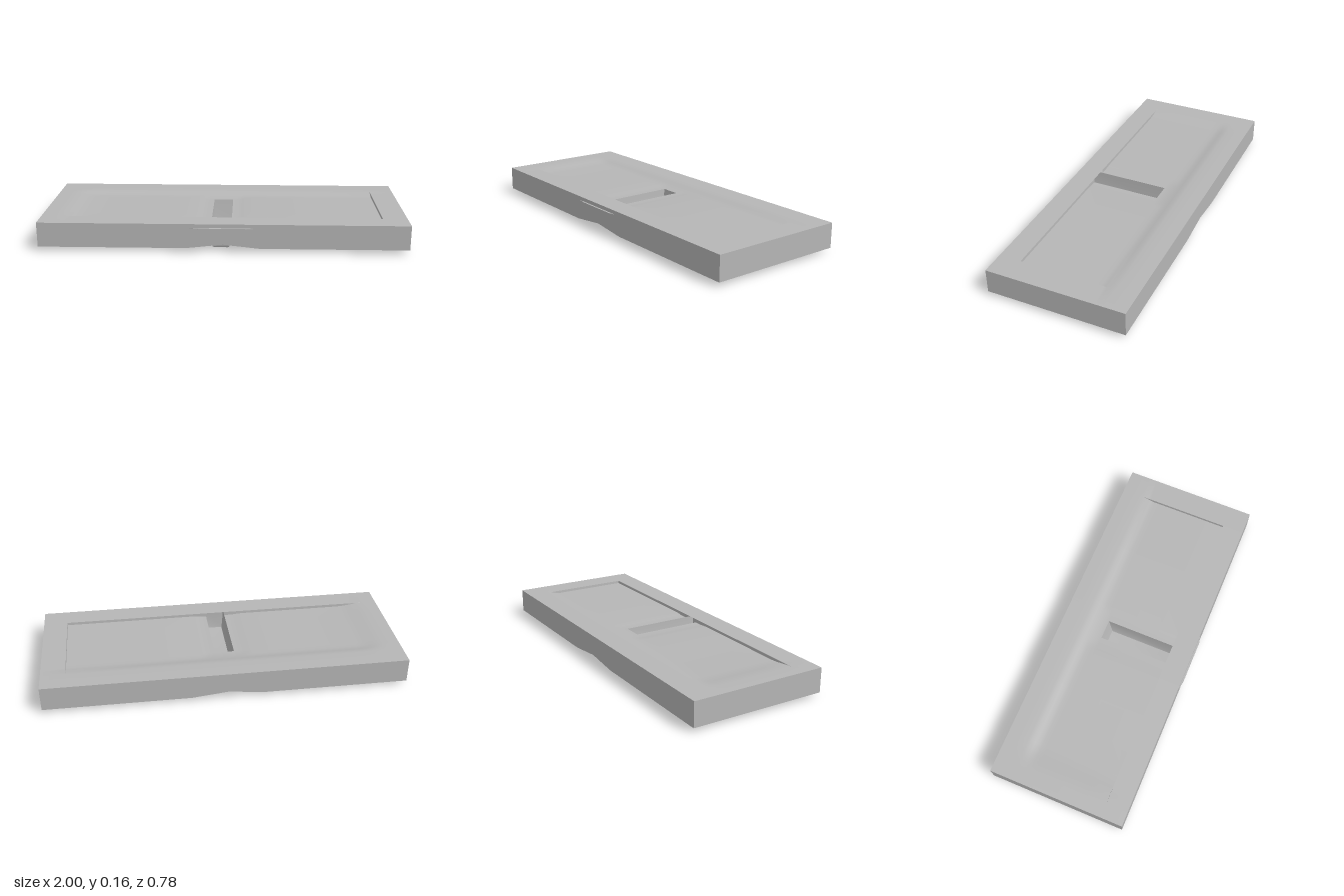
import * as THREE from 'three';
import { toCreasedNormals } from 'three/addons/utils/BufferGeometryUtils.js';

const TOP = 0.158, BASE = 0.022, BACK = -0.388, FRONT = 0.378;
const SLOT = { x0: -0.065, x1: 0.045, z0: -0.14, z1: 0.256 };
const smooth = THREE.MathUtils.smoothstep;

// Surface over an x/z grid, height given by a rule; cells may be skipped
function heightSurface(xs, zs, height, down = false, skip = () => false) {
  const pos = [], index = [], nz = zs.length;
  for (const x of xs) for (const z of zs) pos.push(x, height(x, z), z);
  for (let i = 0; i < xs.length - 1; i++) {
    for (let j = 0; j < nz - 1; j++) {
      if (skip((xs[i] + xs[i + 1]) / 2, (zs[j] + zs[j + 1]) / 2)) continue;
      const a = i * nz + j, b = a + 1, c = a + nz, d = c + 1;
      if (down) index.push(a, c, b, b, c, d);
      else index.push(a, b, c, b, d, c);
    }
  }
  return finish(pos, index);
}

// Rectangular rings [x0, x1, z0, z1, y] joined from top to bottom, closed by a floor
function rectLoft(rings, inward) {
  const pos = [], index = [];
  const tri = (a, b, c) => (inward ? index.push(a, c, b) : index.push(a, b, c));
  for (const [x0, x1, z0, z1, y] of rings) pos.push(x0, y, z0, x0, y, z1, x1, y, z1, x1, y, z0);
  for (let r = 0; r < rings.length - 1; r++) {
    for (let k = 0; k < 4; k++) {
      const a = r * 4 + k, b = r * 4 + (k + 1) % 4;
      tri(a, a + 4, b);
      tri(b, a + 4, b + 4);
    }
  }
  const f = (rings.length - 1) * 4;
  tri(f, f + 2, f + 1);
  tri(f, f + 3, f + 2);
  return finish(pos, index);
}

function finish(pos, index) {
  const g = new THREE.BufferGeometry();
  g.setAttribute('position', new THREE.Float32BufferAttribute(pos, 3));
  g.setIndex(index);
  return toCreasedNormals(g, 0.6);
}

// Shallow tray: soft slopes at left and back, sharp steps at right and front
function trayHeight(x, z) {
  const inside = smooth(x, -0.92, -0.76) * smooth(z, -0.27, -0.19)
    * (x < 0.8655 ? 1 : 0) * (z < 0.2555 ? 1 : 0);
  const dip = smooth(x, -0.17, -0.1) * (1 - smooth(x, 0.08, 0.13)) * smooth(z, -0.2, -0.16);
  return TOP - inside * (0.015 + 0.005 * dip);
}

// Underside with a shallow chevron at the front and back edges
function baseHeight(x, z) {
  const edge = Math.max(smooth(z, 0.31, FRONT), 1 - smooth(z, BACK, -0.31));
  return BASE + 0.022 * Math.max(0, 1 - Math.abs(x) / 0.2) * edge;
}

export function createModel() {
  const model = new THREE.Group();
  const grey = new THREE.MeshStandardMaterial({ color: 0xb6b6b6, side: THREE.DoubleSide });
  grey.name = 'grey';
  const add = (name, geometry) => {
    const mesh = new THREE.Mesh(geometry, grey);
    mesh.name = name;
    model.add(mesh);
    return mesh;
  };

  // Top with its sunken tray, open over the slot
  const xs = [-1, -0.92, -0.89, -0.86, -0.83, -0.8, -0.76, -0.4, -0.17, -0.145, -0.12, -0.1,
    SLOT.x0, SLOT.x1, 0.08, 0.1, 0.13, 0.5, 0.865, 0.866, 1];
  const zs = [BACK, -0.33, -0.27, -0.25, -0.23, -0.21, -0.19, -0.16, SLOT.z0, 0, 0.15, 0.255, SLOT.z1, FRONT];
  add('trayTop', heightSurface(xs, zs, trayHeight, false, (x, z) =>
    x > SLOT.x0 && x < SLOT.x1 && z > SLOT.z0 && z < SLOT.z1));

  // Underside
  const bottomXs = [-1, -0.2, -0.1, 0, 0.1, 0.2, 1];
  const bottomZs = [BACK, -0.36, -0.335, -0.31, 0, 0.31, 0.333, 0.356, FRONT];
  add('underside', heightSurface(bottomXs, bottomZs, baseHeight, true));

  // Long walls with the chevron cut into the lower edge
  const wall = new THREE.Shape([[-1, BASE], [-0.2, BASE], [0, BASE + 0.022], [0.2, BASE],
    [1, BASE], [1, TOP], [-1, TOP]].map(p => new THREE.Vector2(...p)));
  add('frontWall', new THREE.ShapeGeometry(wall)).position.z = FRONT;
  const back = add('backWall', new THREE.ShapeGeometry(wall));
  back.position.z = BACK;
  back.rotation.y = Math.PI;

  // End walls
  for (const side of [-1, 1]) {
    const end = add(side > 0 ? 'leftWall' : 'rightWall', new THREE.PlaneGeometry(FRONT - BACK, TOP - BASE));
    end.position.set(side, (TOP + BASE) / 2, (FRONT + BACK) / 2);
    end.rotation.y = side * Math.PI / 2;
  }

  // Slot running forward beneath the front rim
  add('slot', rectLoft([
    [SLOT.x0, SLOT.x1, SLOT.z0, 0.31, 0.138],
    [-0.057, 0.04, -0.12, 0.31, 0.03],
    [-0.052, 0.032, -0.115, 0.305, 0.012],
  ], true));

  // Runner under the slot
  add('runner', rectLoft([
    [-0.062, 0.038, -0.12, 0.313, BASE + 0.002],
    [-0.058, 0.034, -0.115, 0.31, 0.008],
    [-0.046, 0.024, -0.105, 0.299, 0],
  ], false));

  // Thin finger lip on the front wall
  const lip = new THREE.Shape([[-0.18, 0], [-0.13, -0.01], [0.12, -0.01], [0.16, 0]]
    .map(p => new THREE.Vector2(...p)));
  const lipMesh = add('fingerLip', new THREE.ExtrudeGeometry(lip, { depth: 0.004, bevelEnabled: false }));
  lipMesh.rotation.x = -Math.PI / 2;
  lipMesh.position.set(0, 0.133, FRONT);

  return model;
}
